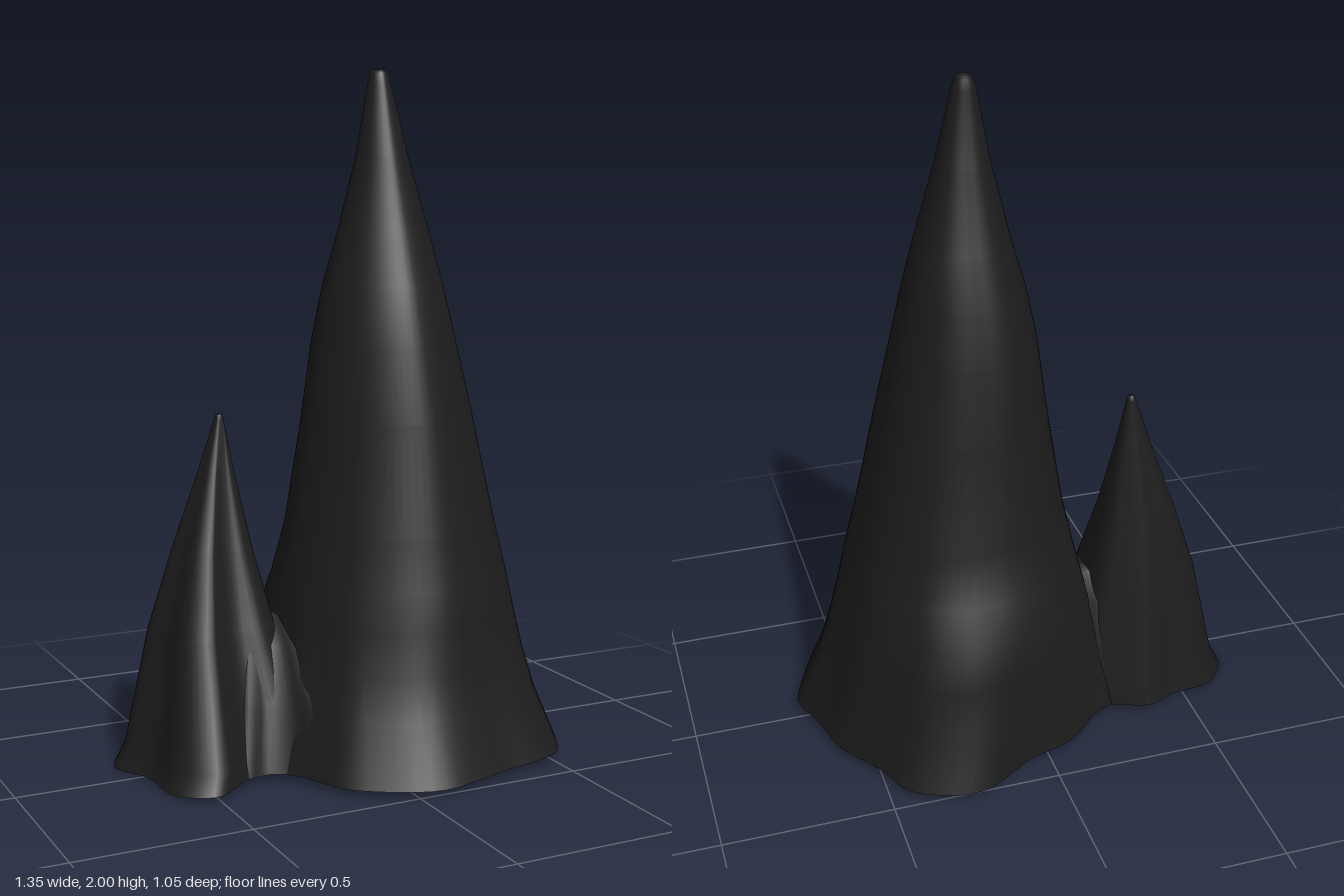
import * as THREE from 'three';

const SEGMENTS = 72;

// Base outlines as [x, z], running from +x round through +z
const MAIN_BASE = [
  [0.675, 0.055], [0.655, 0.12], [0.58, 0.29], [0.52, 0.385], [0.44, 0.425], [0.33, 0.45], [0.2, 0.49],
  [0.085, 0.52], [0, 0.505], [-0.12, 0.44], [-0.17, 0.4], [-0.21, 0.33], [-0.245, 0.25], [-0.28, 0.205],
  [-0.28, 0.08], [-0.28, -0.1], [-0.27, -0.24], [-0.2, -0.275], [-0.08, -0.38], [0.07, -0.43],
  [0.21, -0.515], [0.28, -0.525], [0.35, -0.51], [0.45, -0.455], [0.5, -0.35], [0.6, -0.2], [0.63, -0.08],
];
const SMALL_BASE = [
  [-0.12, 0], [-0.14, 0.16], [-0.25, 0.215], [-0.32, 0.19], [-0.38, 0.2], [-0.46, 0.26], [-0.5, 0.285],
  [-0.54, 0.275], [-0.59, 0.235], [-0.615, 0.19], [-0.625, 0.04], [-0.675, -0.09], [-0.67, -0.13],
  [-0.6, -0.225], [-0.5, -0.25], [-0.46, -0.255], [-0.41, -0.28], [-0.36, -0.29], [-0.31, -0.275],
  [-0.25, -0.25], [-0.15, -0.2],
];
const SADDLE_BASE = [
  [-0.05, 0], [-0.1, 0.35], [-0.19, 0.3], [-0.25, 0.23], [-0.32, 0.192], [-0.4, 0.2], [-0.42, -0.05],
  [-0.38, -0.275], [-0.31, -0.27], [-0.25, -0.25], [-0.15, -0.28], [-0.07, -0.3],
];

// Levels as [y, xMin, xMax, zMin, zMax, roundness]
const MAIN_LEVELS = [
  [0.02, -0.28, 0.675, -0.525, 0.52, 0],
  [0.18, -0.25, 0.605, -0.47, 0.45, 0.3],
  [0.31, -0.23, 0.565, -0.44, 0.41, 0.5],
  [0.43, -0.21, 0.53, -0.412, 0.393, 0.65],
  [0.53, -0.19, 0.503, -0.355, 0.37, 0.75],
  [0.68, -0.16, 0.462, -0.3, 0.335, 0.85],
  [1.0, -0.11, 0.39, -0.25, 0.28, 1],
  [1.22, -0.08, 0.34, -0.21, 0.235, 1],
  [1.38, -0.045, 0.307, -0.178, 0.19, 1],
  [1.52, -0.003, 0.275, -0.137, 0.137, 1],
  [1.75, 0.053, 0.21, -0.073, 0.075, 1],
  [1.96, 0.094, 0.164, -0.042, 0.022, 1],
  [1.99, 0.103, 0.156, -0.036, 0.013, 1],
  [2.0, 0.112, 0.148, -0.03, 0.005, 1],
];
const SMALL_LEVELS = [
  [0.02, -0.675, -0.12, -0.29, 0.285, 0],
  [0.07, -0.64, -0.135, -0.28, 0.255, 0.03],
  [0.4, -0.565, -0.215, -0.222, 0.105, 0.15],
  [0.63, -0.49, -0.265, -0.178, 0.02, 0.3],
  [0.85, -0.41, -0.305, -0.135, -0.05, 0.5],
  [1.0, -0.358, -0.33, -0.113, -0.085, 1],
  [1.015, -0.353, -0.335, -0.108, -0.09, 1],
];
const SADDLE_LEVELS = [
  [0.02, -0.42, -0.05, -0.3, 0.35, 0],
  [0.2, -0.38, -0.08, -0.25, 0.26, 0],
  [0.36, -0.34, -0.12, -0.2, 0.15, 0],
  [0.43, -0.28, -0.16, -0.12, 0.02, 0],
];

// Smooth closed outline scaled into the square from -1 to 1
function unitOutline(base, [, x0, x1, z0, z1]) {
  const curve = new THREE.CatmullRomCurve3(
    base.map(([x, z]) => new THREE.Vector3(x, 0, z)), true, 'centripetal');
  return curve.getSpacedPoints(SEGMENTS).slice(0, SEGMENTS).map((p) => [
    (2 * p.x - x0 - x1) / (x1 - x0), (2 * p.z - z0 - z1) / (z1 - z0),
  ]);
}

// Loft the outline through its levels, rounding it towards the tip;
// skew pushes the rounded part out at the back left and in at the front right
function spireGeometry(base, levels, baseY, skew) {
  const outline = unitOutline(base, levels[0]);
  const positions = [];
  const indices = [];
  levels.forEach(([y, x0, x1, z0, z1, round], level) => {
    for (const [u, v] of outline) {
      const r = Math.hypot(u, v);
      const lean = 1 + skew * (u - v) * Math.abs(u * v) / r ** 3;
      const k = THREE.MathUtils.lerp(1, lean / r, round);
      const x = (x0 + x1) / 2 + u * k * (x1 - x0) / 2;
      const z = (z0 + z1) / 2 + v * k * (z1 - z0) / 2;
      positions.push(x, level === 0 ? baseY(x) : y, z);
    }
  });
  for (let level = 0; level < levels.length - 1; level++) {
    for (let i = 0; i < SEGMENTS; i++) {
      const a = level * SEGMENTS + i;
      const b = level * SEGMENTS + (i + 1) % SEGMENTS;
      indices.push(a, a + SEGMENTS, b, b, a + SEGMENTS, b + SEGMENTS);
    }
  }
  // Tip
  const [topY, x0, x1, z0, z1] = levels[levels.length - 1];
  const topStart = (levels.length - 1) * SEGMENTS;
  const apex = positions.length / 3;
  positions.push((x0 + x1) / 2, topY, (z0 + z1) / 2);
  for (let i = 0; i < SEGMENTS; i++) {
    indices.push(apex, topStart + (i + 1) % SEGMENTS, topStart + i);
  }
  // Underside with its own vertices, so the rim stays sharp
  const rim = positions.length / 3;
  positions.push(...positions.slice(0, SEGMENTS * 3));
  const center = positions.length / 3;
  const [, bx0, bx1, bz0, bz1] = levels[0];
  positions.push((bx0 + bx1) / 2, baseY((bx0 + bx1) / 2), (bz0 + bz1) / 2);
  for (let i = 0; i < SEGMENTS; i++) {
    indices.push(center, rim + i, rim + (i + 1) % SEGMENTS);
  }
  const geometry = new THREE.BufferGeometry();
  geometry.setAttribute('position', new THREE.Float32BufferAttribute(positions, 3));
  geometry.setIndex(indices);
  geometry.computeVertexNormals();
  return geometry;
}

export function createModel() {
  const group = new THREE.Group();
  group.name = 'rockSpires';
  const rock = new THREE.MeshStandardMaterial({ color: 0x1c1c1c });
  rock.name = 'darkRock';

  const flatFoot = () => 0.02;
  // The foot of the small spire dips slightly at its outer edge
  const dippedFoot = (x) => 0.02 * Math.sqrt(THREE.MathUtils.clamp((x + 0.675) / 0.25, 0, 1));

  const addSpire = (name, base, levels, baseY, skew) => {
    const mesh = new THREE.Mesh(spireGeometry(base, levels, baseY, skew), rock);
    mesh.name = name;
    group.add(mesh);
  };
  addSpire('mainSpire', MAIN_BASE, MAIN_LEVELS, flatFoot, 0.09);
  addSpire('smallSpire', SMALL_BASE, SMALL_LEVELS, dippedFoot, 0);
  // Rock filling the notch between the two spires
  addSpire('saddle', SADDLE_BASE, SADDLE_LEVELS, flatFoot, 0);
  return group;
}
